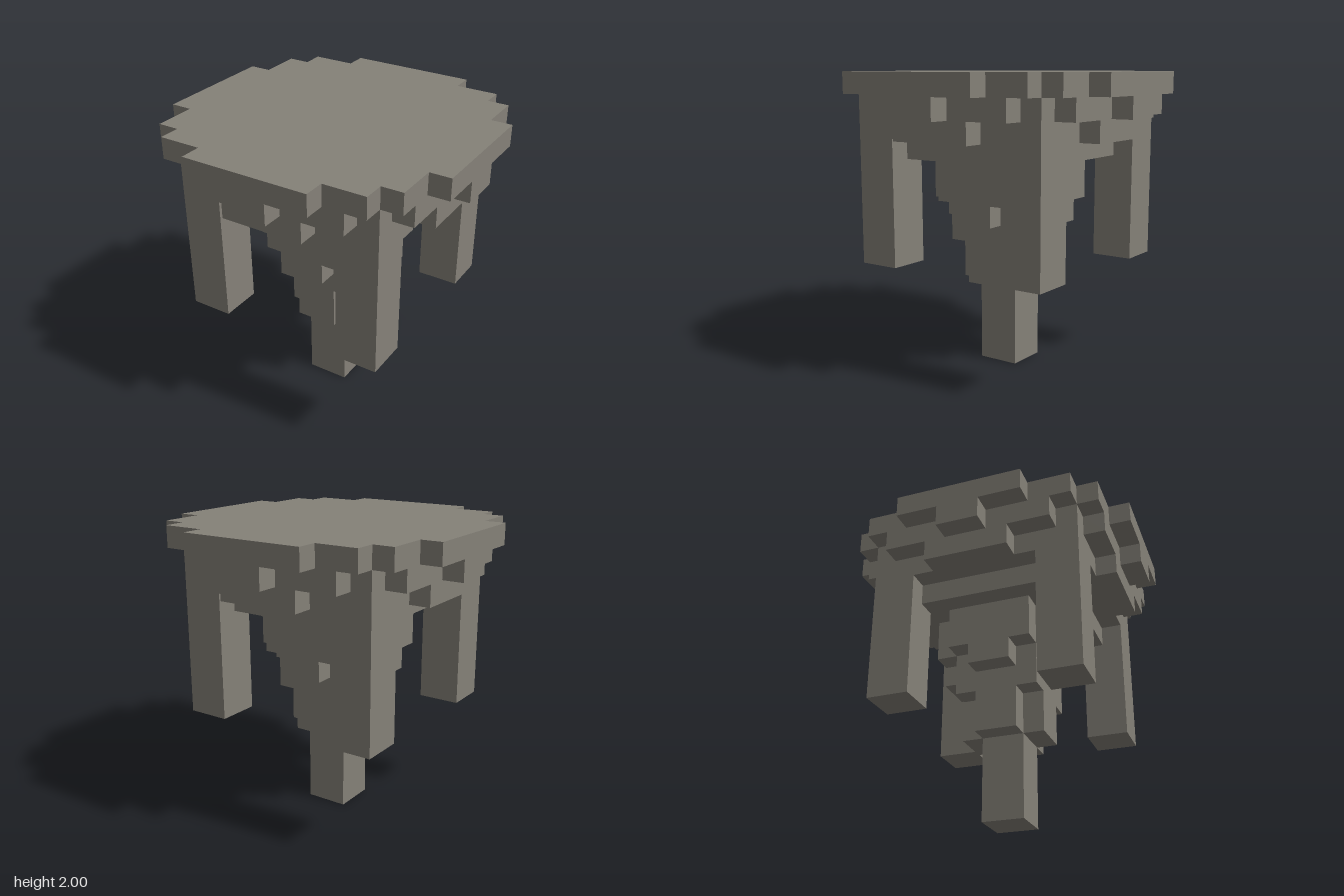
import * as THREE from 'three';

const U = 1 / 7; // one block

// Stepped outline from [halfWidth, halfDepth] corners of the first quadrant,
// ordered from the deepest, narrowest step to the widest, shallowest one.
function steppedShape(steps) {
  const quarter = [];
  steps.forEach(([x, z], i) => {
    if (i > 0) quarter.push([steps[i - 1][0], z]);
    quarter.push([x, z]);
  });
  const back = [...quarter].reverse();
  const outline = [
    ...back,
    ...quarter.map(([x, z]) => [-x, z]),
    ...back.map(([x, z]) => [-x, -z]),
    ...quarter.map(([x, z]) => [x, -z]),
  ];
  return new THREE.Shape(outline.map(([x, z]) => new THREE.Vector2(x * U, z * U)));
}

export function createModel() {
  const group = new THREE.Group();
  const stone = new THREE.MeshStandardMaterial({ color: 0x858178 });
  stone.name = 'warmGreyStone';

  function addLayer(name, bottom, top, steps) {
    const geometry = new THREE.ExtrudeGeometry(steppedShape(steps), {
      depth: (top - bottom) * U,
      bevelEnabled: false,
    });
    geometry.rotateX(-Math.PI / 2);
    const mesh = new THREE.Mesh(geometry, stone);
    mesh.name = name;
    mesh.position.y = bottom * U;
    group.add(mesh);
  }

  // Round table top and the stepped layers under it
  addLayer('tableTop', 13, 14, [[3, 7], [5, 6], [6, 5], [7, 3]]);
  addLayer('upperRim', 12, 13, [[1, 7], [4, 6], [5, 5], [6, 4], [7, 1]]);
  addLayer('lowerRim', 11, 12, [[2, 6], [5, 5], [6, 2]]);
  addLayer('underPlate', 10, 11, [[4, 4]]);

  // Hanging centre, tapering down to the foot
  addLayer('centreBody', 8, 10, [[2, 3], [3, 2]]);
  addLayer('centreStep', 7, 8, [[1, 3], [2, 2], [3, 1]]);
  addLayer('centreBlock', 6, 7, [[2, 2]]);
  addLayer('centreCross', 4, 6, [[1, 2], [2, 1]]);
  addLayer('centreFoot', 0, 4, [[1, 1]]);

  // Four corner legs
  const legGeometry = new THREE.BoxGeometry(2 * U, 6 * U, 2 * U);
  for (const [name, x, z] of [
    ['frontLeftLeg', 1, 1],
    ['frontRightLeg', -1, 1],
    ['backLeftLeg', 1, -1],
    ['backRightLeg', -1, -1],
  ]) {
    const leg = new THREE.Mesh(legGeometry, stone);
    leg.name = name;
    leg.position.set(4 * U * x, 8 * U, 4 * U * z);
    group.add(leg);
  }

  return group;
}
